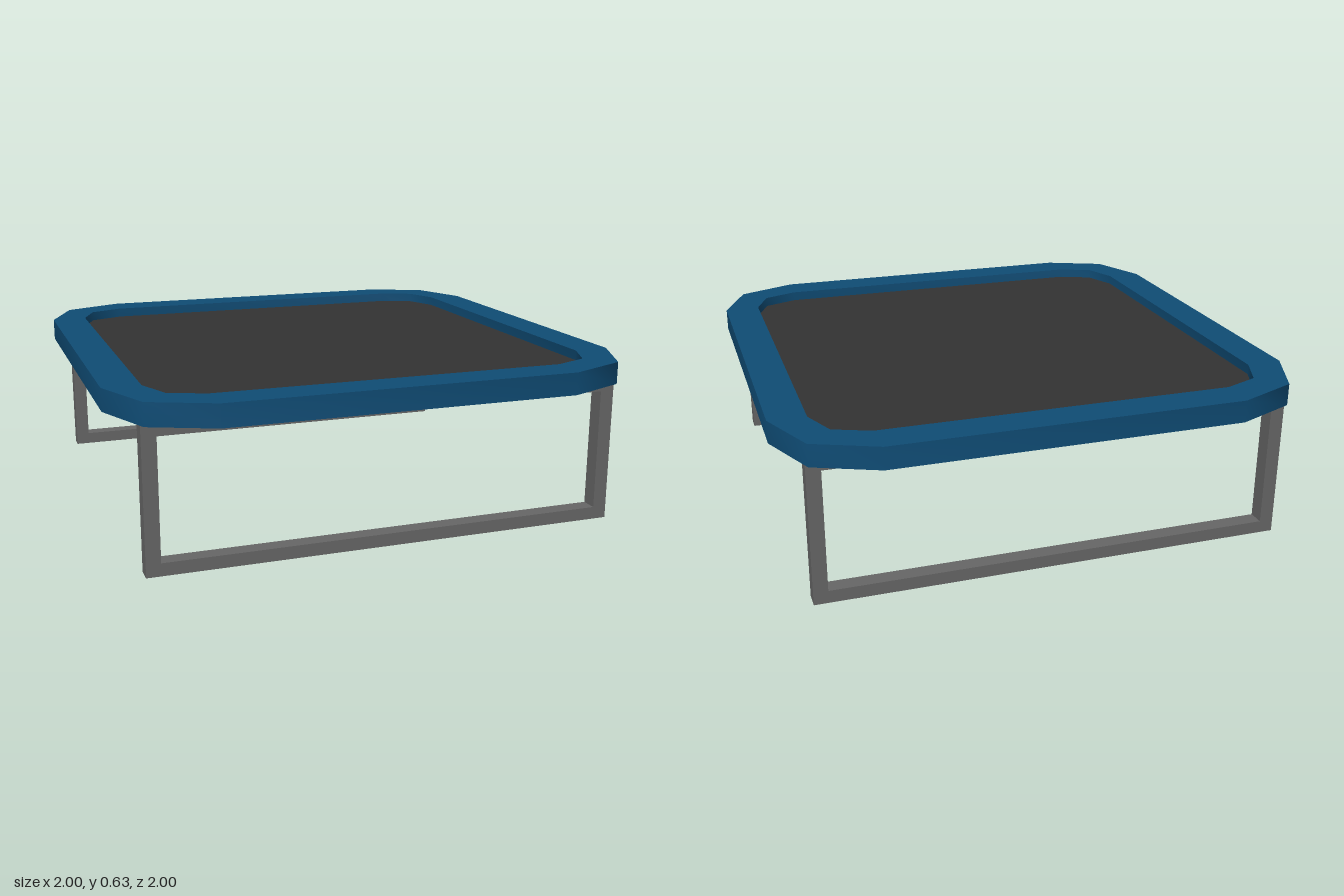
import * as THREE from 'three';
import { toCreasedNormals } from 'three/addons/utils/BufferGeometryUtils.js';

const BOTTOM = 0.545, TOP = 0.63, FLOOR = 0.592;

// Square outline whose corners are cut by three short edges
function outline(half, corner, straight, Type = THREE.Shape) {
  const points = [];
  for (let i = 0; i < 4; i++) {
    for (const [x, y] of [[half, -straight], [half, straight], [corner, corner]]) {
      points.push(new THREE.Vector2(x, y).rotateAround(new THREE.Vector2(), i * Math.PI / 2));
    }
  }
  return new Type(points);
}

// Upright slab between two heights
function slab(name, shape, y0, y1, material) {
  let geometry = new THREE.ExtrudeGeometry(shape, { depth: y1 - y0, bevelEnabled: false });
  geometry.rotateX(-Math.PI / 2).translate(0, y0, 0);
  geometry = toCreasedNormals(geometry, 0.9);
  const mesh = new THREE.Mesh(geometry, material);
  mesh.name = name;
  return mesh;
}

export function createModel() {
  const blue = new THREE.MeshStandardMaterial({ name: 'deep blue', color: 0x0f4c75 });
  const dark = new THREE.MeshStandardMaterial({ name: 'charcoal', color: 0x333333 });
  const metal = new THREE.MeshStandardMaterial({ name: 'grey metal', color: 0x666666 });

  const model = new THREE.Group();
  model.name = 'table';

  // Raised rim
  const rim = outline(1, 0.9, 0.665);
  rim.holes.push(outline(0.86, 0.805, 0.67, THREE.Path));
  model.add(slab('rim', rim, BOTTOM, TOP, blue));

  // Closed underside and recessed top panel
  const inner = outline(0.86, 0.805, 0.67);
  model.add(slab('underside', inner, BOTTOM, FLOOR - 0.008, blue));
  model.add(slab('topPanel', inner, FLOOR - 0.008, FLOOR, dark));

  // Rectangular leg frames, set slightly into the top
  const W = 0.907, w = 0.853, H = 0.56, depth = 0.063;
  const frame = new THREE.Shape([[-W, 0], [W, 0], [W, H], [-W, H]].map(p => new THREE.Vector2(...p)));
  frame.holes.push(new THREE.Path(
    [[-w, 0.048], [-w, 0.513], [w, 0.513], [w, 0.048]].map(p => new THREE.Vector2(...p))));
  const frameGeometry = new THREE.ExtrudeGeometry(frame, { depth, bevelEnabled: false });
  frameGeometry.translate(0, 0, -depth / 2);
  for (const [name, z] of [['frontLegFrame', 0.839], ['backLegFrame', -0.839]]) {
    const leg = new THREE.Mesh(frameGeometry, metal);
    leg.name = name;
    leg.position.z = z;
    model.add(leg);
  }
  return model;
}
